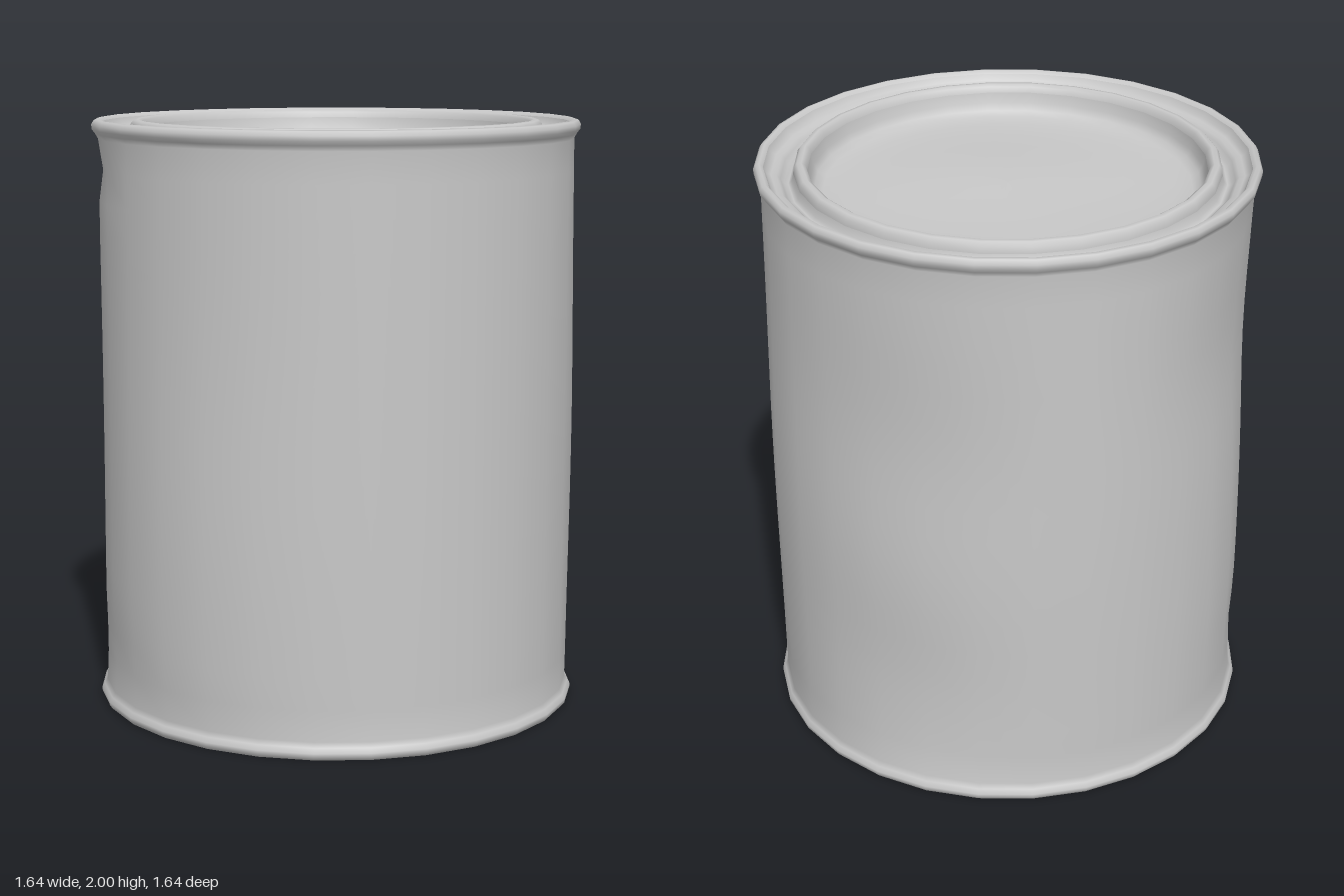
import * as THREE from 'three';

const SIDES = 28;
const metal = new THREE.MeshStandardMaterial({ color: 0xc8c8c8 });
metal.name = 'grey metal';

// Smooth turned part from [radius, height] pairs, listed from the bottom outside upwards and inwards
function turned(name, profile) {
  const points = profile.map(([r, y]) => new THREE.Vector2(r, y));
  const geometry = new THREE.LatheGeometry(points, SIDES, Math.PI / SIDES);
  const mesh = new THREE.Mesh(geometry, metal);
  mesh.name = name;
  return mesh;
}

// Recompute normals and join them across the lathe seam
function smooth(geometry, rows) {
  geometry.computeVertexNormals();
  const n = geometry.attributes.normal;
  const a = new THREE.Vector3(), b = new THREE.Vector3();
  for (let j = 0; j < rows; j++) {
    const last = SIDES * rows + j;
    a.fromBufferAttribute(n, j).add(b.fromBufferAttribute(n, last)).normalize();
    n.setXYZ(j, a.x, a.y, a.z);
    n.setXYZ(last, a.x, a.y, a.z);
  }
}

// Dents (positive) and bulges (negative) in the wall:
// direction (degrees from +z towards +x), height, half width, half height, depth
const DENTS = [
  [45, 0.95, 16, 0.6, -0.017], [92, 1.3, 24, 0.35, 0.022], [92, 0.4, 22, 0.3, 0.022],
  [135, 1.0, 15, 0.7, -0.009], [180, 1.45, 24, 0.35, 0.028], [180, 0.55, 25, 0.35, -0.006],
  [225, 1.86, 9, 0.08, 0.018], [225, 0.9, 18, 0.6, 0.004], [270, 0.6, 28, 0.55, -0.016],
  [240, 0.2, 16, 0.1, 0.01], [205, 0.25, 14, 0.12, 0.01],
];

function dentWall(geometry, rows) {
  const p = geometry.attributes.position;
  for (let i = 0; i < p.count; i++) {
    const x = p.getX(i), y = p.getY(i), z = p.getZ(i);
    const r = Math.hypot(x, z), angle = THREE.MathUtils.radToDeg(Math.atan2(x, z));
    let push = 0;
    for (const [a, h, w, t, depth] of DENTS) {
      const da = ((angle - a + 900) % 360) - 180;
      push += depth * Math.exp(-((da / w) ** 2) - ((y - h) / t) ** 2);
    }
    push *= Math.max(0, Math.min(1, (y - 0.06) / 0.1, (1.94 - y) / 0.06));
    p.setXYZ(i, x * (1 - push / r), y, z * (1 - push / r));
  }
  smooth(geometry, rows);
}

// Gentle warping of the lid floor, fading out at its edge
function warpLid(geometry, rows) {
  const p = geometry.attributes.position;
  for (let i = 0; i < p.count; i++) {
    const x = p.getX(i), z = p.getZ(i);
    const fade = Math.max(0, 1 - (Math.hypot(x, z) / 0.62) ** 2);
    p.setY(i, p.getY(i) + fade * 0.014 * Math.sin(5 * x + 2) * Math.cos(4 * z - 0.5));
  }
  smooth(geometry, rows);
}

export function createModel() {
  const can = new THREE.Group();
  can.name = 'tinCan';

  // Dented wall, flaring into the rolled seams at the foot and the top
  const foot = [[0.795, 0.012], [0.803, 0.003], [0.814, 0.003], [0.824, 0.015], [0.825, 0.028], [0.816, 0.044]];
  const top = [[0.814, 1.952], [0.825, 1.966], [0.826, 1.982], [0.818, 1.996], [0.806, 1.999], [0.794, 1.988]];
  const wall = [];
  for (let i = 0; i <= 18; i++) wall.push([0.805, 0.06 + (1.875 * i) / 18]);
  const profile = [...foot, ...wall, ...top];
  const body = turned('wall', profile);
  dentWall(body.geometry, profile.length);
  can.add(body);

  // Flat base
  can.add(turned('base', [[0, 0.012], [0.795, 0.012]]));

  // Stepped collar and groove around the lid
  can.add(turned('collar', [
    [0.794, 1.988], [0.784, 1.967], [0.77, 1.961], [0.752, 1.957], [0.74, 1.946], [0.729, 1.93],
    [0.715, 1.926], [0.704, 1.937], [0.698, 1.96],
  ]));

  // Raised lid ring
  can.add(turned('lidRing', [
    [0.698, 1.96], [0.696, 1.982], [0.685, 1.995], [0.67, 1.997], [0.658, 1.989], [0.652, 1.97],
  ]));

  // Sunken lid, curving down to a warped floor
  const bowl = [
    [0.652, 1.97], [0.645, 1.935], [0.632, 1.91], [0.605, 1.898], [0.55, 1.892], [0.46, 1.89],
    [0.35, 1.89], [0.23, 1.89], [0.12, 1.89], [0, 1.89],
  ];
  const lid = turned('lidPanel', bowl);
  warpLid(lid.geometry, bowl.length);
  can.add(lid);

  return can;
}
